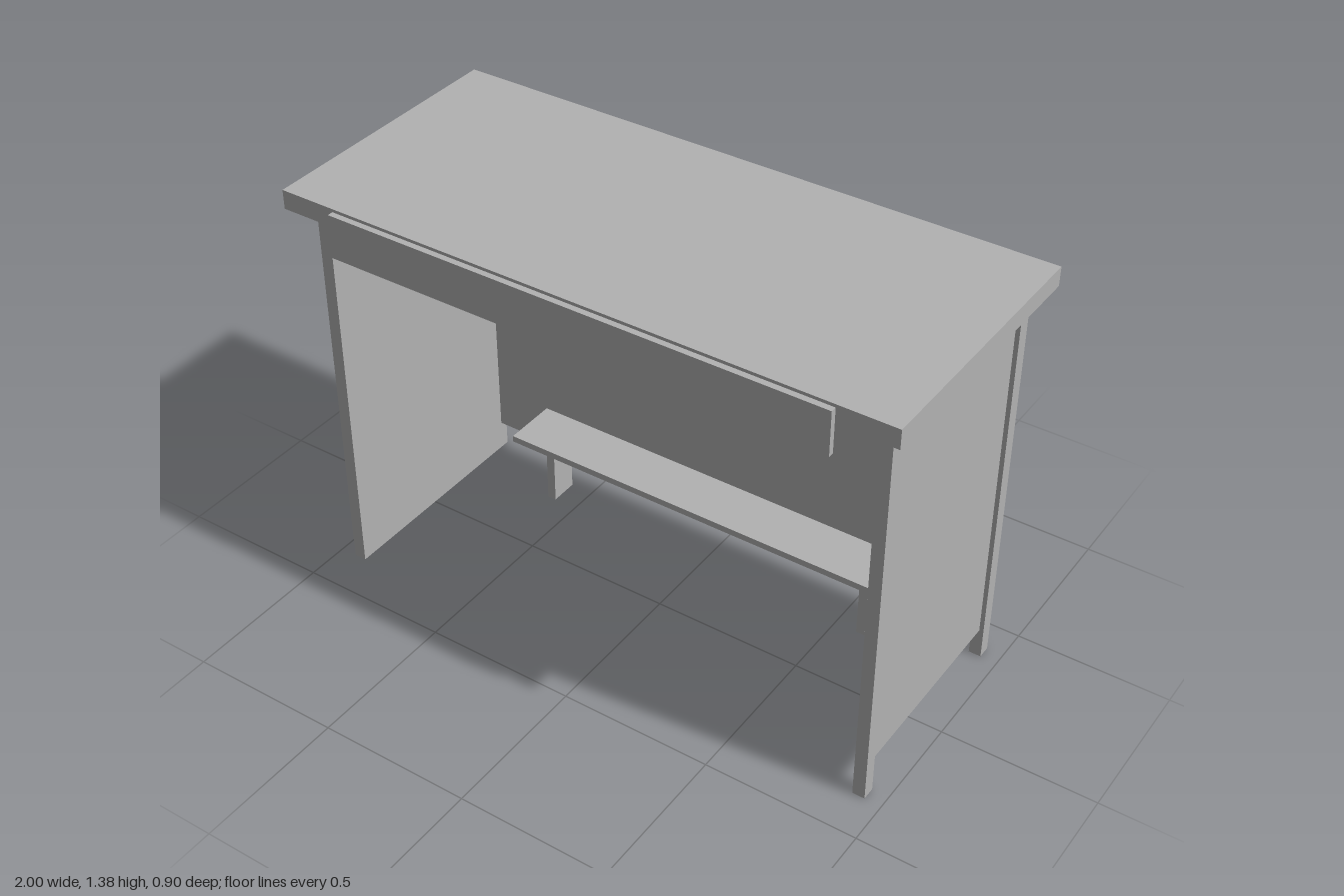
import * as THREE from 'three';

export function createModel() {
  const model = new THREE.Group();
  model.name = 'busShelter';

  const grey = new THREE.MeshStandardMaterial({ color: 0xb2b2b2 });
  grey.name = 'plain grey';

  // Box given by its lower and upper limits on each axis
  function addBox(name, [x0, x1], [y0, y1], [z0, z1]) {
    const mesh = new THREE.Mesh(new THREE.BoxGeometry(x1 - x0, y1 - y0, z1 - z0), grey);
    mesh.position.set((x0 + x1) / 2, (y0 + y1) / 2, (z0 + z1) / 2);
    mesh.name = name;
    model.add(mesh);
  }

  // Flat roof and the sign board on its front edge
  addBox('roof', [-1, 1], [1.32, 1.382], [-0.447, 0.43]);
  addBox('signBoard', [-0.815, 0.815], [1.23, 1.372], [0.43, 0.449]);

  // Four square corner posts
  for (const [side, x] of [['left', 0.925], ['right', -0.925]]) {
    for (const [end, z] of [['Front', 0.335], ['Back', -0.374]]) {
      addBox(side + end + 'Post', [x - 0.02, x + 0.02], [0, 1.32], [z - 0.022, z + 0.022]);
    }
  }

  // Thin panes at the back and left, thick display case on the right
  addBox('backPane', [-0.905, 0.905], [0.1, 1.25], [-0.38, -0.368]);
  addBox('leftPane', [0.919, 0.931], [0.1, 1.25], [-0.352, 0.313]);
  addBox('rightDisplayCase', [-0.99, -0.905], [0, 1.25], [-0.352, 0.313]);

  // Bench
  addBox('benchSeat', [-0.7, 0.695], [0.23, 0.252], [-0.36, -0.175]);
  addBox('rightBenchLeg', [-0.61, -0.58], [0, 0.23], [-0.33, -0.235]);
  addBox('leftBenchLeg', [0.575, 0.605], [0, 0.23], [-0.33, -0.235]);

  return model;
}
